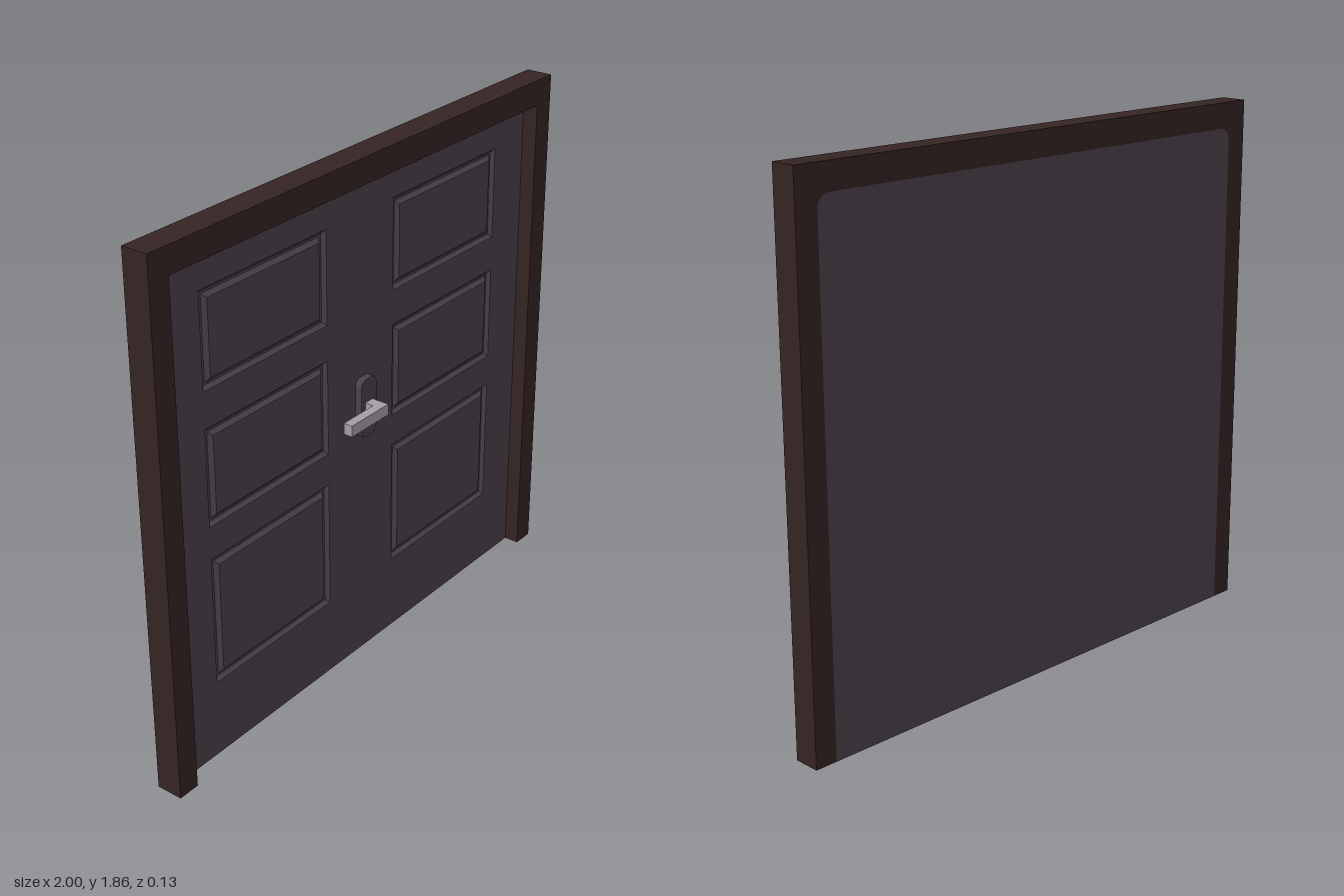
import * as THREE from 'three';

const doorMat = new THREE.MeshStandardMaterial({ name: 'door grey', color: 0x4b424b });
const frameMat = new THREE.MeshStandardMaterial({ name: 'frame brown', color: 0x352423 });
const metalMat = new THREE.MeshStandardMaterial({ name: 'handle metal', color: 0xa79ca6 });

const BACK = -0.065, FACE = -0.025, FRONT = 0.03;
const W = 0.92, H = 1.77; // half width and height of the opening

// Rectangle path, optionally with rounded top and bottom corners
function rect(T, x0, y0, x1, y1, top = 0, bottom = 0) {
  const p = new T();
  p.moveTo(x0 + bottom, y0);
  p.lineTo(x1 - bottom, y0);
  if (bottom) p.quadraticCurveTo(x1, y0, x1, y0 + bottom);
  p.lineTo(x1, y1 - top);
  if (top) p.quadraticCurveTo(x1, y1, x1 - top, y1);
  p.lineTo(x0 + top, y1);
  if (top) p.quadraticCurveTo(x0, y1, x0, y1 - top);
  p.lineTo(x0, y0 + bottom);
  if (bottom) p.quadraticCurveTo(x0, y0, x0 + bottom, y0);
  return p;
}

function slab(name, shape, z0, z1, material) {
  const geo = new THREE.ExtrudeGeometry(shape, { depth: z1 - z0, bevelEnabled: false, curveSegments: 6 });
  const mesh = new THREE.Mesh(geo, material);
  mesh.name = name;
  mesh.position.z = z0;
  return mesh;
}

function box(name, x0, x1, y0, y1, z0, z1, material) {
  const mesh = new THREE.Mesh(new THREE.BoxGeometry(x1 - x0, y1 - y0, z1 - z0), material);
  mesh.name = name;
  mesh.position.set((x0 + x1) / 2, (y0 + y1) / 2, (z0 + z1) / 2);
  return mesh;
}

// Inverted U of the door frame
function archShape(radius) {
  const s = new THREE.Shape();
  s.moveTo(-1, 0);
  s.lineTo(-W, 0);
  s.lineTo(-W, H - radius);
  if (radius) s.quadraticCurveTo(-W, H, -W + radius, H);
  else s.lineTo(-W, H);
  s.lineTo(W - radius, H);
  if (radius) s.quadraticCurveTo(W, H, W, H - radius);
  s.lineTo(W, 0);
  s.lineTo(1, 0);
  s.lineTo(1, 1.86);
  s.lineTo(-1, 1.86);
  return s;
}

// Panel with a grooved border, built from nested rectangles
function panel(x0, y0, x1, y1) {
  const rings = [[0, 0], [0.012, -0.012], [0.02, -0.012], [0.034, 0]].map(([d, z]) => [
    [x0 + d, y0 + d, z], [x1 - d, y0 + d, z], [x1 - d, y1 - d, z], [x0 + d, y1 - d, z]]);
  const pos = [];
  const quad = (a, b, c, d) => pos.push(...a, ...b, ...c, ...a, ...c, ...d);
  for (let r = 0; r < rings.length - 1; r++) {
    for (let i = 0; i < 4; i++) {
      const j = (i + 1) % 4;
      quad(rings[r][i], rings[r][j], rings[r + 1][j], rings[r + 1][i]);
    }
  }
  quad(...rings[rings.length - 1]);
  const geo = new THREE.BufferGeometry();
  geo.setAttribute('position', new THREE.Float32BufferAttribute(pos, 3));
  geo.computeVertexNormals();
  const mesh = new THREE.Mesh(geo, doorMat);
  mesh.name = 'doorPanel';
  mesh.position.z = FACE;
  return mesh;
}

export function createModel() {
  const model = new THREE.Group();
  model.name = 'door';

  // Frame: square opening in front, rounded top corners at the back
  const frame = new THREE.Group();
  frame.name = 'frame';
  frame.add(slab('frameFront', archShape(0), -0.045, FRONT, frameMat));
  frame.add(slab('frameBack', archShape(0.05), BACK, -0.045, frameMat));
  model.add(frame);

  // Door leaf with six panels
  const leaf = new THREE.Group();
  leaf.name = 'doorLeaf';
  const face = rect(THREE.Shape, -W, 0, W, H);
  for (const [y0, y1] of [[0.28, 0.745], [0.86, 1.2], [1.325, 1.65]]) {
    for (const [x0, x1] of [[-0.75, -0.172], [0.172, 0.75]]) {
      face.holes.push(rect(THREE.Path, x0, y0, x1, y1));
      leaf.add(panel(x0, y0, x1, y1));
    }
  }
  leaf.add(slab('doorFace', face, -0.045, FACE, doorMat));
  leaf.add(slab('doorBack', rect(THREE.Shape, -W, 0, W, H, 0.05), BACK, -0.045, doorMat));
  model.add(leaf);

  // Handle: backplate, stem and lever
  const handle = new THREE.Group();
  handle.name = 'handle';
  handle.add(slab('backplate', rect(THREE.Shape, -0.028, 0.86, 0.052, 1.075, 0.03, 0.03), FACE, 0, doorMat));
  handle.add(box('stem', -0.008, 0.032, 0.95, 0.99, 0, 0.035, metalMat));
  handle.add(box('lever', -0.162, 0.032, 0.95, 0.99, 0.032, 0.065, metalMat));
  model.add(handle);

  return model;
}
